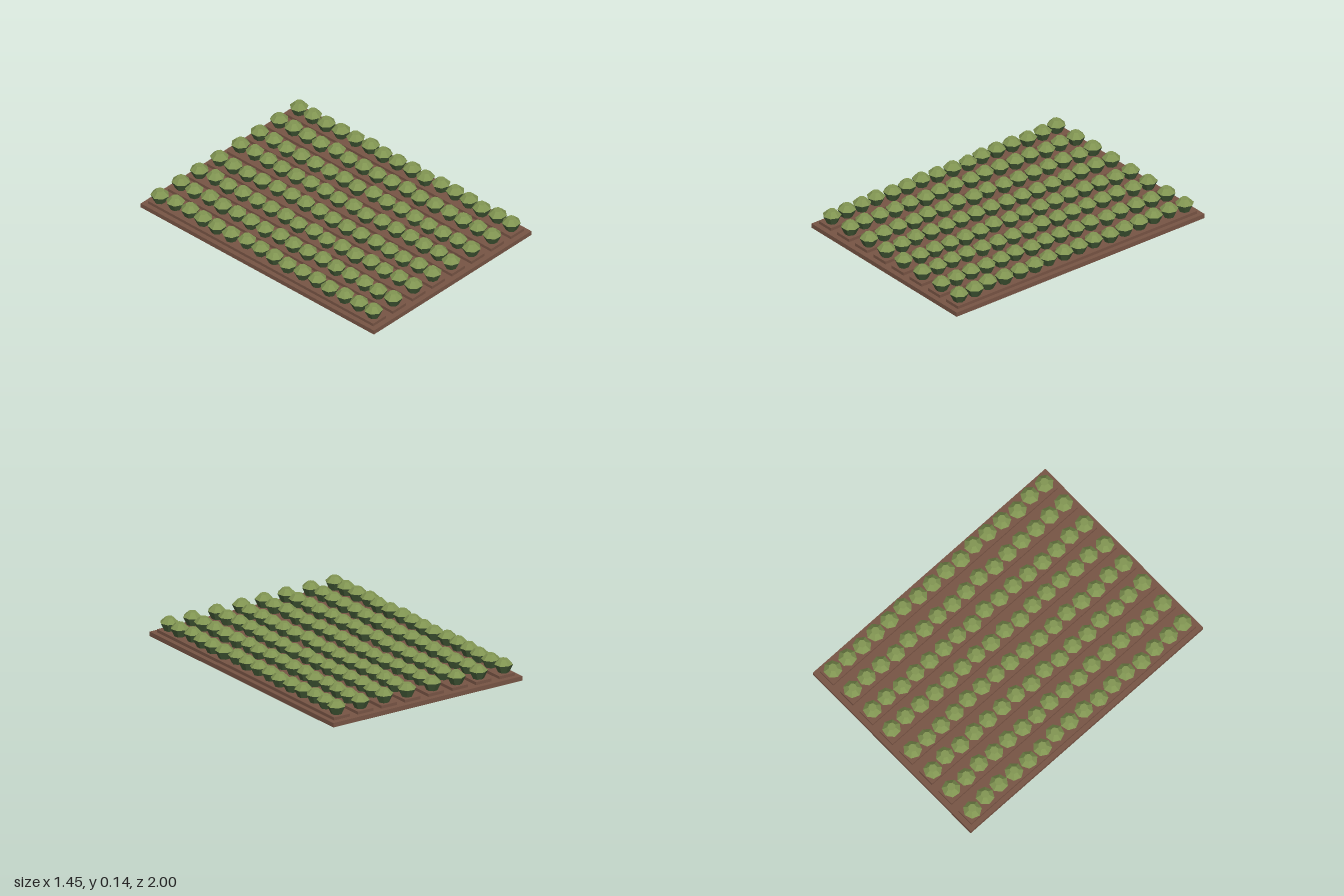
import * as THREE from 'three';

// Small seeded generator for the planting irregularity
function seeded(seed) {
  return () => {
    seed = (seed * 16807) % 2147483647;
    return seed / 2147483647;
  };
}

export function createModel() {
  const soil = new THREE.MeshStandardMaterial({ color: 0x775444, flatShading: true });
  soil.name = 'brown soil';
  const leaf = new THREE.MeshStandardMaterial({ color: 0x819552, flatShading: true });
  leaf.name = 'light green leaf';
  const darkLeaf = new THREE.MeshStandardMaterial({ color: 0x435a37, flatShading: true });
  darkLeaf.name = 'dark green leaf';

  const WIDTH = 1.454, ROWS = 8, PLANTS = 16, SIDES = 7;
  const BED_TOP = 0.03, RIDGE_TOP = 0.05, PLANT_MID = 0.103, PLANT_TOP = 0.137;
  const rowSpacing = WIDTH / ROWS;
  const plantSpacing = 1.82 / (PLANTS - 1);
  const random = seeded(71);

  const model = new THREE.Group();
  model.name = 'cropField';

  const add = (parent, name, geometry, material, x, y, z) => {
    const mesh = new THREE.Mesh(geometry, material);
    mesh.name = name;
    mesh.position.set(x, y, z);
    parent.add(mesh);
    return mesh;
  };

  // Soil bed
  add(model, 'soilBed', new THREE.BoxGeometry(WIDTH, BED_TOP, 2), soil, 0, BED_TOP / 2, 0);

  // Shared parts: raised ridge, dark lower leaves, light crown
  const ridge = new THREE.BoxGeometry(0.12, RIDGE_TOP - BED_TOP, 1.93);
  const lower = new THREE.CylinderGeometry(0.061, 0.036, PLANT_MID - RIDGE_TOP, SIDES);
  const crown = new THREE.CylinderGeometry(0.027, 0.061, PLANT_TOP - PLANT_MID, SIDES);

  for (let r = 0; r < ROWS; r++) {
    const row = new THREE.Group();
    row.name = 'plantRow';
    row.position.x = (r - (ROWS - 1) / 2) * rowSpacing;
    model.add(row);
    add(row, 'ridge', ridge, soil, 0, (BED_TOP + RIDGE_TOP) / 2, 0);

    // Plants, slightly off the row line and turned at random
    for (let p = 0; p < PLANTS; p++) {
      const plant = new THREE.Group();
      plant.name = 'plant';
      plant.position.set((random() - 0.5) * 0.02, 0, (p - (PLANTS - 1) / 2) * plantSpacing);
      plant.rotation.y = random() * Math.PI * 2;
      add(plant, 'lowerLeaves', lower, darkLeaf, 0, (RIDGE_TOP + PLANT_MID) / 2, 0);
      add(plant, 'crown', crown, leaf, 0, (PLANT_MID + PLANT_TOP) / 2, 0);
      row.add(plant);
    }
  }
  return model;
}
